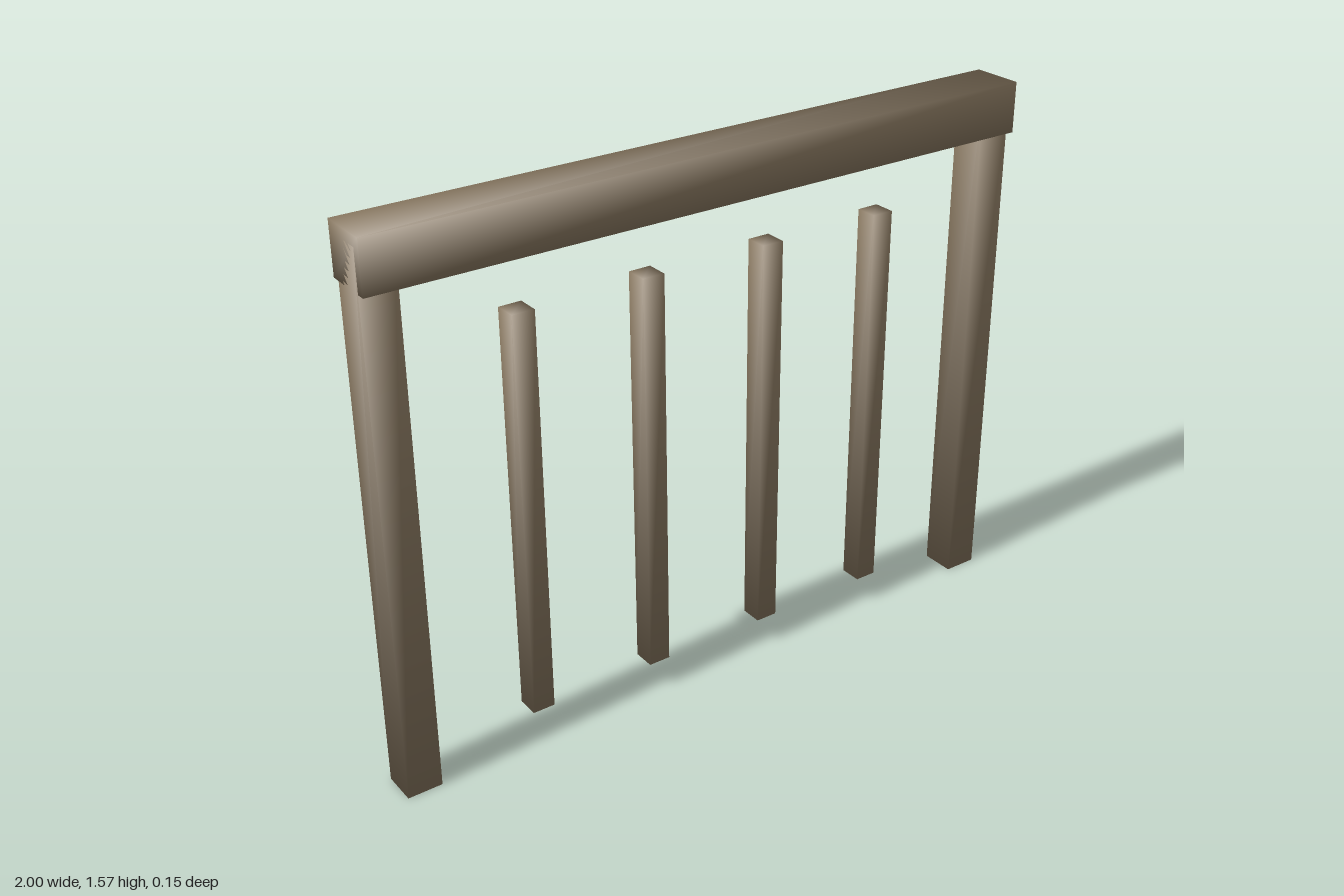
import * as THREE from 'three';

const wood = new THREE.MeshStandardMaterial({ color: 0x8b7a62 });

// Square timber with soft, corner-averaged shading
function beam(name, w, h, d, x, y) {
  const geometry = new THREE.BoxGeometry(w, h, d);
  const pos = geometry.attributes.position;
  const n = new THREE.Vector3();
  for (let i = 0; i < pos.count; i++) {
    n.set(Math.sign(pos.getX(i)), Math.sign(pos.getY(i)), Math.sign(pos.getZ(i))).normalize();
    geometry.attributes.normal.setXYZ(i, n.x, n.y, n.z);
  }
  const mesh = new THREE.Mesh(geometry, wood);
  mesh.name = name;
  mesh.position.set(x, y, 0);
  return mesh;
}

export function createModel() {
  const model = new THREE.Group();
  model.name = 'railing';

  // Top rail, flush with the outer faces of the posts
  model.add(beam('topRail', 2, 0.145, 0.15, 0, 1.4975));

  // End posts, let into the rail
  for (const side of [-1, 1]) {
    model.add(beam(side > 0 ? 'leftPost' : 'rightPost', 0.1, 1.54, 0.1, side * 0.95, 0.77));
  }

  // Free-standing balusters
  for (let i = 0; i < 4; i++) {
    model.add(beam('baluster' + (i + 1), 0.065, 1.175, 0.065, -0.573 + i * 0.38, 0.678));
  }

  return model;
}
